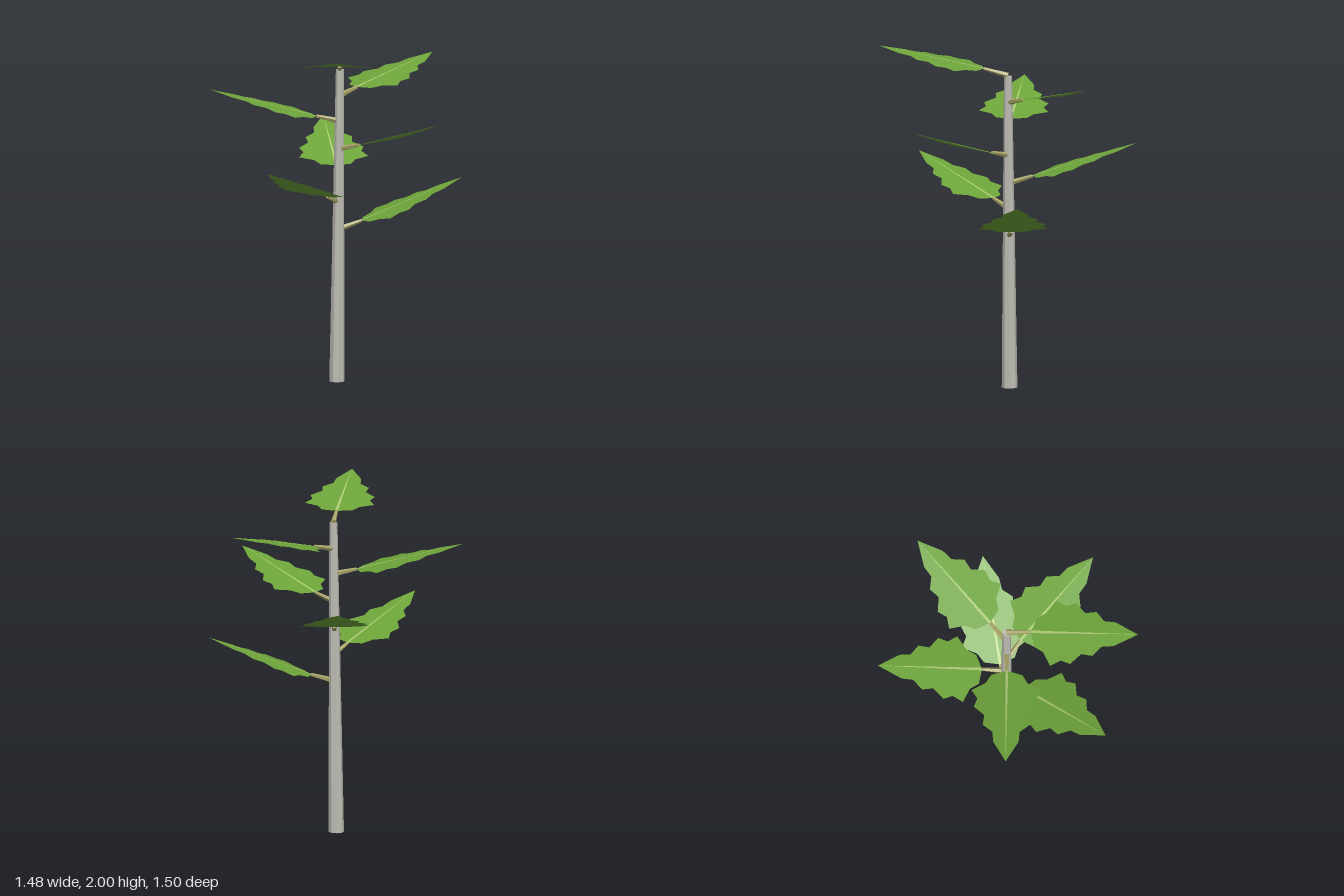
import * as THREE from 'three';

const mat = (name, color, double) => {
  const m = new THREE.MeshStandardMaterial({ color, flatShading: true });
  m.name = name;
  if (double) m.side = THREE.DoubleSide;
  return m;
};

// Half outline of the toothed blade: [fraction of length, half width]
const EDGE = [
  [0, 0], [0.04, 0.09], [0.13, 0.123], [0.205, 0.205], [0.3, 0.17], [0.39, 0.19],
  [0.485, 0.128], [0.59, 0.137], [0.67, 0.08], [0.78, 0.074], [1, 0],
];
const DROOP = 0.05; // blade halves sink slightly away from the midrib

// Each leaf: petiole height at the stem, blade base, blade tip
const LEAVES = [
  [1.85, [-0.03, 1.885, 0.14], [-0.197, 2.0, 0.745]],
  [1.69, [0.125, 1.725, -0.075], [0.653, 1.863, -0.412]],
  [1.54, [-0.13, 1.57, -0.022], [-0.74, 1.73, -0.138]],
  [1.375, [0.1, 1.41, 0.1], [0.468, 1.592, 0.596]],
  [1.21, [0.018, 1.255, -0.143], [0.075, 1.455, -0.75]],
  [1.06, [-0.09, 1.108, 0.082], [-0.537, 1.32, 0.492]],
  [0.9, [0.14, 0.945, -0.013], [0.738, 1.18, -0.01]],
];

// Surface spanned between two equally long rows of points
function strip(rowA, rowB) {
  const pos = [];
  for (let i = 0; i < rowA.length - 1; i++) {
    const [a, b, c, d] = [rowA[i], rowB[i], rowB[i + 1], rowA[i + 1]];
    for (const p of [a, b, c, a, c, d]) pos.push(p.x, p.y, p.z);
  }
  const g = new THREE.BufferGeometry();
  g.setAttribute('position', new THREE.Float32BufferAttribute(pos, 3));
  g.computeVertexNormals();
  return g;
}

// Tapered rod between two points
function rod(a, b, ra, rb, sides, material) {
  const dir = b.clone().sub(a);
  const mesh = new THREE.Mesh(new THREE.CylinderGeometry(rb, ra, dir.length(), sides), material);
  mesh.position.copy(a).lerp(b, 0.5);
  mesh.quaternion.setFromUnitVectors(new THREE.Vector3(0, 1, 0), dir.normalize());
  return mesh;
}

export function createModel() {
  const bark = mat('grey bark', 0xbdbcb3);
  const stalk = mat('olive stalk', 0xa8a468);
  const green = mat('leaf green', 0x6ea53a, true);
  const pale = mat('pale rib', 0xaeca76, true);
  const model = new THREE.Group();
  model.name = 'sapling';

  // Slightly leaning, tapered stem
  const foot = new THREE.Vector3(-0.01, 0, -0.009);
  const crown = new THREE.Vector3(0.005, 1.845, 0.001);
  const stemGeo = new THREE.CylinderGeometry(0.024, 0.046, 1.845, 8, 4);
  const p = stemGeo.attributes.position;
  for (let i = 0; i < p.count; i++) {
    const y = p.getY(i) + 1.845 / 2;
    const c = foot.clone().lerp(crown, y / 1.845);
    p.setXYZ(i, p.getX(i) + c.x, y, p.getZ(i) + c.z);
  }
  const stem = new THREE.Mesh(stemGeo, bark);
  stem.name = 'stem';
  model.add(stem);

  LEAVES.forEach(([stemY, b, t], n) => {
    const base = new THREE.Vector3(...b), tip = new THREE.Vector3(...t);
    const along = tip.clone().sub(base);
    const side = new THREE.Vector3(along.z, 0, -along.x).normalize();
    const up = along.clone().cross(side).normalize();
    const leaf = new THREE.Group();
    leaf.name = 'leaf' + (n + 1);

    // Petiole
    const root = foot.clone().lerp(crown, stemY / 1.845);
    const petiole = rod(root, base, 0.018, 0.01, 5, stalk);
    petiole.name = 'petiole';
    leaf.add(petiole);

    // Two blade halves either side of the midrib
    const at = (f, s, lift) => base.clone().addScaledVector(along, f)
      .addScaledVector(side, s).addScaledVector(up, lift);
    const mid = EDGE.map(([f]) => at(f, 0, 0));
    for (const s of [1, -1]) {
      const edge = EDGE.map(([f, w]) => at(f, s * w, -DROOP * w));
      const half = new THREE.Mesh(s > 0 ? strip(mid, edge) : strip(edge, mid), green);
      half.name = s > 0 ? 'bladeLeft' : 'bladeRight';
      leaf.add(half);
    }

    // Thin tapered midrib on the upper face
    const fr = [0, 0.5, 0.97];
    const rib = new THREE.Mesh(strip(
      fr.map((f) => at(f, -0.0085 * (1 - f), 0.003)),
      fr.map((f) => at(f, 0.0085 * (1 - f), 0.003))), pale);
    rib.name = 'midrib';
    leaf.add(rib);
    model.add(leaf);
  });
  return model;
}
